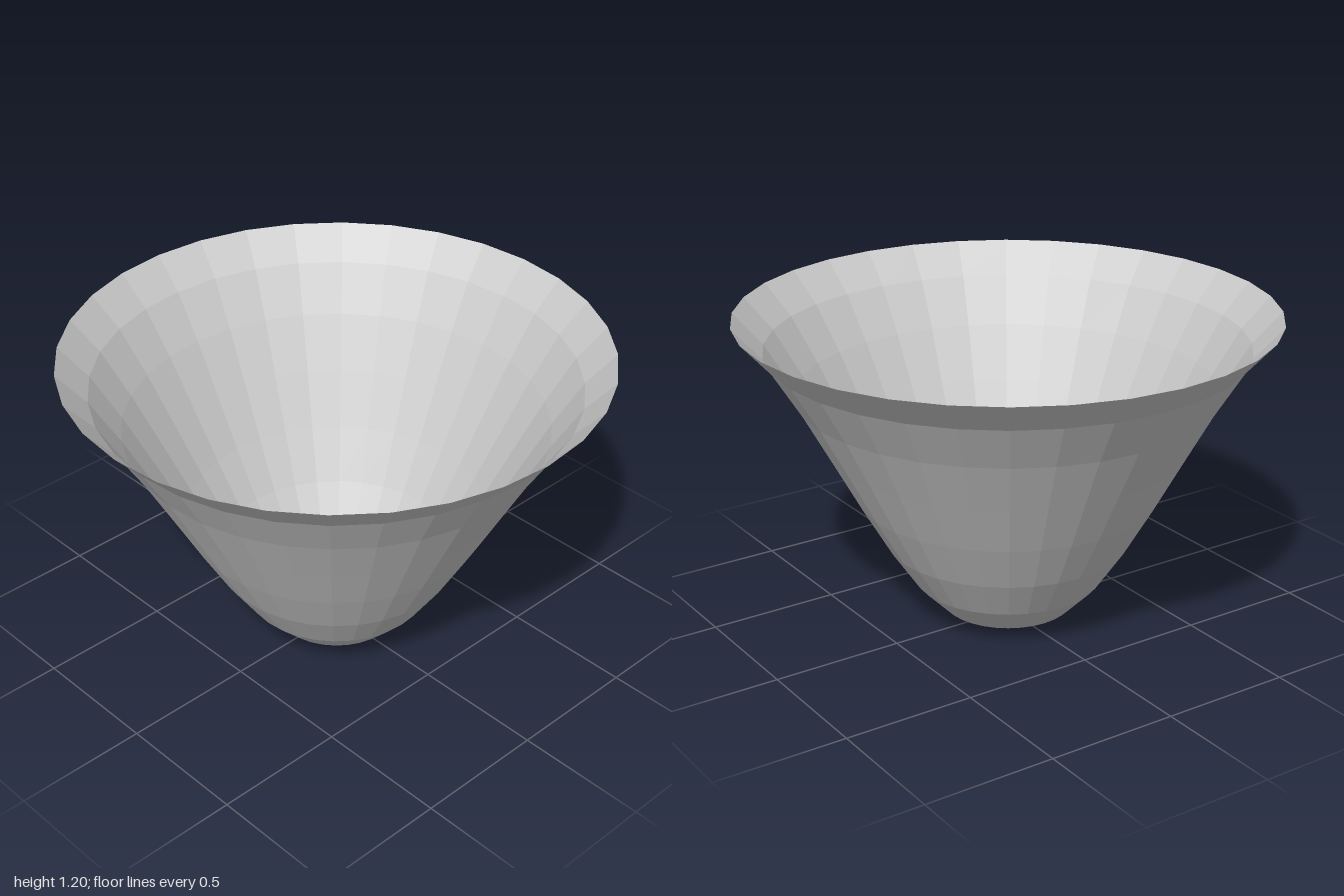
import * as THREE from 'three';

export function createModel() {
  const group = new THREE.Group();

  // Bowl wall profile: radius, height, from the flat base to the rim
  const profile = [
    [0, 0], [0.14, 0.003], [0.247, 0.045], [0.355, 0.155], [0.462, 0.315],
    [0.57, 0.505], [0.677, 0.705], [0.785, 0.905], [0.892, 1.08], [1, 1.2],
  ].map(([r, y]) => new THREE.Vector2(r, y));

  // Thin faceted shell, open at the top
  const material = new THREE.MeshStandardMaterial({
    color: 0xcccccc, flatShading: true, side: THREE.DoubleSide,
  });
  const bowl = new THREE.Mesh(new THREE.LatheGeometry(profile, 32), material);
  bowl.name = 'bowl';
  group.add(bowl);

  return group;
}
